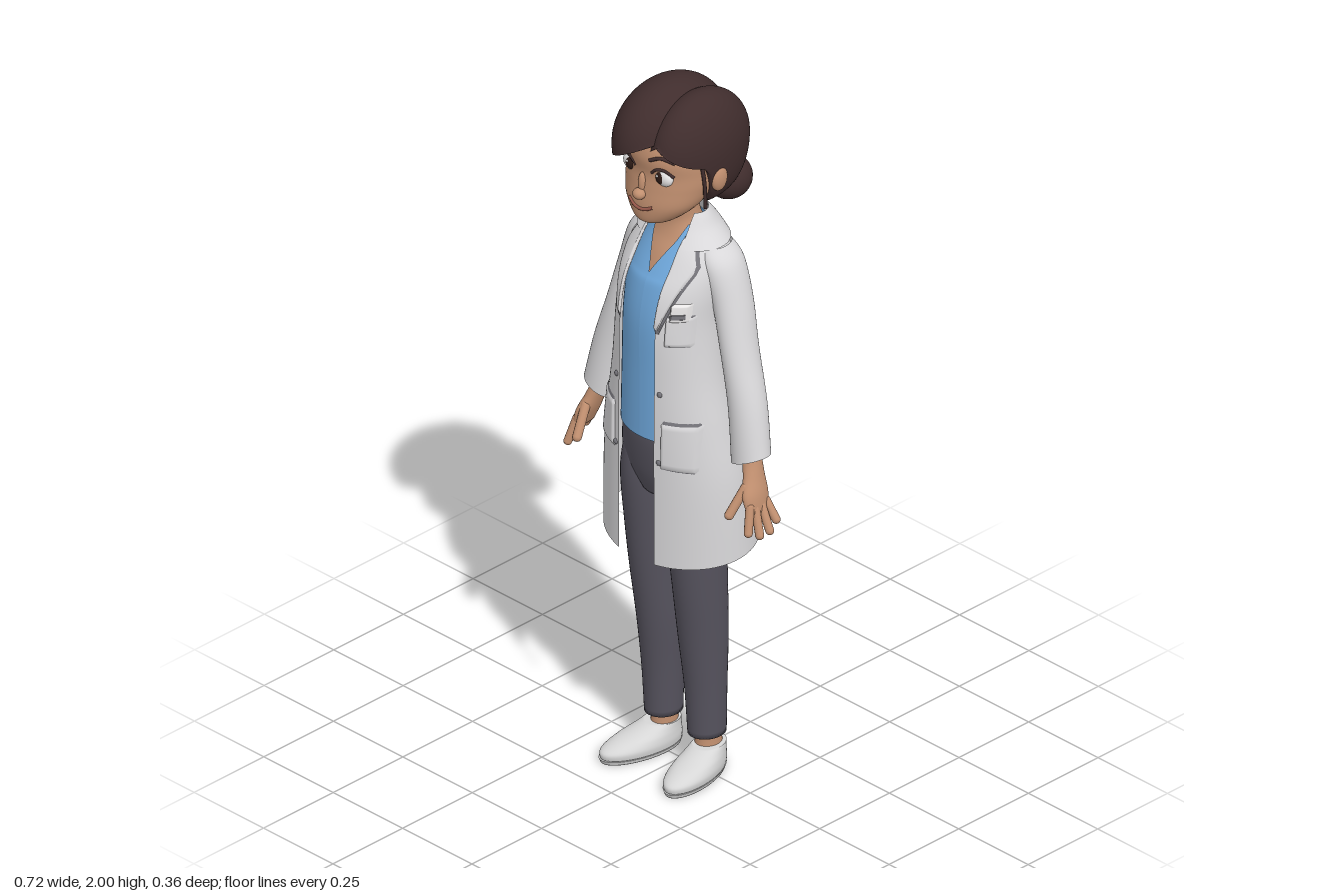
import * as THREE from 'three';

const mat = (name, color, side = THREE.FrontSide) => {
  const m = new THREE.MeshStandardMaterial({ color, side });
  m.name = name;
  return m;
};

// Smooth rows through sections [y, centreX, centreZ, radiusX, radiusZ, frontGapHalfWidth]
function smoothRows(sections, steps = 6) {
  const rows = [], n = sections.length - 1;
  for (let i = 0; i < n; i++) {
    const [a, b, c, d] = [sections[Math.max(i - 1, 0)], sections[i], sections[i + 1], sections[Math.min(i + 2, n)]];
    for (let k = 0; k < steps + (i === n - 1 ? 1 : 0); k++) {
      const t = k / steps;
      rows.push(b.map((p, j) => p + 0.5 * t * (c[j] - a[j] + t * (2 * a[j] - 5 * p + 4 * c[j] - d[j] + t * (3 * (p - c[j]) + d[j] - a[j])))));
    }
  }
  return rows;
}

function gridGeometry(points, cols, rows, wrap) {
  const index = [];
  for (let i = 0; i < rows - 1; i++) for (let j = 0; j < (wrap ? cols : cols - 1); j++) {
    const a = i * cols + j, b = i * cols + (j + 1) % cols;
    index.push(a, b, b + cols, a, b + cols, a + cols);
  }
  const g = new THREE.BufferGeometry();
  g.setAttribute('position', new THREE.Float32BufferAttribute(points, 3));
  g.setIndex(index);
  g.computeVertexNormals();
  return g;
}

// Stack of elliptical rings, optionally capped, open down the front, or bent by a rule
function loft(sections, { cap = false, open = false, bend = null, cols = 40 } = {}) {
  const rows = smoothRows(sections), pts = [];
  if (cap) {
    rows.unshift([...rows[0].slice(0, 3), 0, 0, 0]);
    rows.push([...rows[rows.length - 1].slice(0, 3), 0, 0, 0]);
  }
  rows.forEach(([y, cx, cz, rx, rz, gap = 0], i) => {
    const a = open ? Math.asin(Math.min(0.99, Math.max(0, gap) / rx)) : 0;
    for (let j = 0; j < cols; j++) {
      const t = a + (2 * Math.PI - 2 * a) * j / (open ? cols - 1 : cols);
      const p = new THREE.Vector3(cx + rx * Math.sin(t), y, cz + rz * Math.cos(t));
      if (bend) bend(p, i / (rows.length - 1), cx);
      pts.push(p.x, p.y, p.z);
    }
  });
  return gridGeometry(pts, cols, rows.length, !open);
}

// Sections given by front and back depth: [y, radiusX, front, back, gap]
const body = list => list.map(([y, rx, f, b, gap = 0]) => [y, 0, (f + b) / 2, rx, (f - b) / 2, gap]);

// Front depth of a lofted surface at x, y
function frontOf(sections) {
  const rows = smoothRows(sections);
  return (x, y) => {
    let i = 0;
    while (i < rows.length - 2 && rows[i + 1][0] < y) i++;
    const t = THREE.MathUtils.clamp((y - rows[i][0]) / (rows[i + 1][0] - rows[i][0]), 0, 1);
    const [, , cz, rx, rz] = rows[i].map((v, k) => v + t * (rows[i + 1][k] - v));
    return cz + rz * Math.sqrt(Math.max(0.03, 1 - (x / rx) ** 2));
  };
}

// Thin cloth patch draped on a surface, with its border tucked in
function patch(front, y0, y1, inner, outer, lift) {
  const n = 15, pts = [];
  for (let i = 0; i < n; i++) for (let j = 0; j < n; j++) {
    const edge = i === 0 || j === 0 || i === n - 1 || j === n - 1;
    const y = y0 + (y1 - y0) * i / (n - 1), x = inner(y) + (outer(y) - inner(y)) * j / (n - 1);
    pts.push(x, y, front(x, y) + (edge ? -0.002 : lift));
  }
  return gridGeometry(pts, n, n, false);
}

export function createModel() {
  const M = {
    skin: mat('skin', 0xc29070), hair: mat('dark brown hair', 0x402d2d),
    coat: mat('coat white', 0xd9d8da, THREE.DoubleSide), shirt: mat('shirt blue', 0x6fa8dc, THREE.DoubleSide),
    trousers: mat('trouser grey', 0x56535e), shoe: mat('shoe white', 0xd6d6d6),
    trim: mat('seam grey', 0x77767c, THREE.DoubleSide), eye: mat('eye white', 0xf0eeee),
    iris: mat('iris brown', 0x2e1c17), lip: mat('lip', 0x9a5a4c),
  };
  const model = new THREE.Group();
  model.name = 'woman';
  const add = (name, g, m, parent = model) => {
    const mesh = new THREE.Mesh(g, m);
    mesh.name = name;
    parent.add(mesh);
    return mesh;
  };
  const ball = (name, m, p, s) => {
    const b = add(name, new THREE.SphereGeometry(1, 28, 20), m);
    b.position.set(...p);
    b.scale.set(...s);
    return b;
  };
  const tube = (name, m, pts, r) => add(name, new THREE.TubeGeometry(new THREE.CatmullRomCurve3(pts.map(p => new THREE.Vector3(...p))), 16, r, 8), m);
  const finger = (name, a, b, r) => {
    const p = new THREE.Vector3(...a), d = new THREE.Vector3(...b).sub(p);
    const f = add(name, new THREE.CapsuleGeometry(r, d.length(), 6, 12), M.skin);
    f.position.copy(p).addScaledVector(d, 0.5);
    f.quaternion.setFromUnitVectors(new THREE.Vector3(0, 1, 0), d.normalize());
  };

  // Head and neck
  const headS = body([[1.643, 0.028, 0.13, 0.07], [1.657, 0.062, 0.146, 0.02], [1.7, 0.106, 0.149, -0.03], [1.75, 0.126, 0.142, -0.08],
    [1.79, 0.132, 0.137, -0.1], [1.84, 0.13, 0.141, -0.11], [1.89, 0.11, 0.122, -0.1], [1.935, 0.06, 0.06, -0.05]]);
  const face = frontOf(headS);
  add('head', loft(headS, { cap: true }), M.skin);
  add('neckAndChest', loft(body([[1.44, 0.115, 0.12, -0.08], [1.52, 0.105, 0.084, -0.08], [1.57, 0.08, 0.054, -0.07],
    [1.61, 0.054, 0.04, -0.055], [1.65, 0.048, 0.042, -0.045], [1.72, 0.048, 0.05, -0.04]])), M.skin);
  ball('noseTip', M.skin, [0, 1.733, 0.15], [0.018, 0.015, 0.017]);
  ball('noseBridge', M.skin, [0, 1.76, 0.138], [0.011, 0.032, 0.012]);
  const curveOnFace = (name, m, pts, r) => tube(name, m, pts.map(([x, y]) => [x, y, face(x, y) + 0.001]), r);
  curveOnFace('mouth', M.lip, [[-0.042, 1.705], [-0.02, 1.694], [0, 1.691], [0.02, 1.694], [0.042, 1.705]], 0.0045);
  for (const s of [-1, 1]) {
    ball('eye', M.eye, [s * 0.057, 1.792, 0.117], [0.029, 0.025, 0.017]);
    ball('iris', M.iris, [s * 0.054, 1.792, 0.128], [0.015, 0.017, 0.008]);
    ball('eyeHighlight', M.eye, [s * 0.054 - 0.005, 1.799, 0.135], [0.004, 0.004, 0.002]);
    tube('upperLashes', M.hair, [[s * 0.028, 1.8, 0.133], [s * 0.045, 1.815, 0.133], [s * 0.065, 1.817, 0.126], [s * 0.088, 1.8, 0.112]], 0.004);
    curveOnFace('eyebrow', M.hair, [[s * 0.026, 1.838], [s * 0.055, 1.85], [s * 0.088, 1.84]], 0.005);
    ball('ear', M.skin, [s * 0.137, 1.775, 0], [0.016, 0.037, 0.026]);
    tube('sideLock', M.hair, [[s * 0.125, 1.85, 0.055], [s * 0.135, 1.78, 0.05], [s * 0.131, 1.7, 0.042]], 0.005);
  }

  // Hair: two overlapping lobes meeting at the parting, trimmed along a hairline
  const lobe = (name, c, r, fringe) => {
    const g = new THREE.SphereGeometry(1, 72, 56), p = g.attributes.position;
    for (let i = 0; i < p.count; i++) {
      let [x, y, z] = [p.getX(i), p.getY(i), p.getZ(i)];
      if (y < 0) {
        const h = Math.hypot(x, z), k = h > 1e-5 ? Math.pow(h, -0.4) : 1;
        x *= k; z *= k;
      }
      x = c[0] + x * r[0]; y = c[1] + y * r[1]; z = c[2] + z * r[2];
      const line = THREE.MathUtils.lerp(1.695, fringe(x), THREE.MathUtils.smoothstep(z, 0.005, 0.05));
      p.setXYZ(i, x, Math.max(y, line), z);
    }
    g.computeVertexNormals();
    add(name, g, M.hair);
  };
  lobe('hairSweep', [-0.035, 1.84, 0.002], [0.122, 0.16, 0.174], x => 1.89 + 0.55 * (x - 0.05));
  lobe('hairSide', [0.055, 1.838, -0.012], [0.092, 0.152, 0.156], x => 1.885 - 0.75 * Math.abs(x - 0.055));
  ball('bun', M.hair, [0.055, 1.697, -0.117], [0.06, 0.06, 0.063]);
  ball('bun', M.hair, [-0.035, 1.695, -0.117], [0.055, 0.056, 0.061]);

  // Shirt with a V neck
  add('shirt', loft(body([[1.015, 0.142, 0.149, -0.08], [1.2, 0.135, 0.149, -0.075], [1.35, 0.13, 0.149, -0.08], [1.45, 0.13, 0.132, -0.09],
    [1.485, 0.126, 0.115, -0.09, 0], [1.53, 0.112, 0.088, -0.088, 0.02], [1.57, 0.092, 0.064, -0.078, 0.04], [1.61, 0.066, 0.044, -0.062, 0.052]]),
    { open: true, cols: 60 }), M.shirt);

  // Coat shell with a sloping hem
  const gap = 0.063;
  const coatS = body([[0.69, 0.225, 0.167, -0.172, gap], [0.9, 0.215, 0.167, -0.142, gap], [1.05, 0.19, 0.168, -0.11, gap], [1.2, 0.162, 0.168, -0.09, gap],
    [1.35, 0.148, 0.168, -0.096, gap], [1.45, 0.151, 0.148, -0.11, gap], [1.52, 0.147, 0.108, -0.112, gap], [1.57, 0.12, 0.078, -0.102, gap],
    [1.6, 0.09, 0.056, -0.085, gap], [1.635, 0.07, 0.035, -0.064, 0.06]]);
  const coatZ = frontOf(coatS);
  add('coat', loft(coatS, { open: true, cols: 72, bend: (p, f) => { p.y -= 0.16 * p.z * Math.max(0, 1 - f * 4); } }), M.coat);
  add('collar', loft(body([[1.565, 0.136, 0.09, -0.112, 0.075], [1.6, 0.1, 0.066, -0.096, 0.067], [1.63, 0.079, 0.045, -0.074, 0.062],
    [1.642, 0.07, 0.036, -0.063, 0.06]]), { open: true, cols: 60 }), M.coat);

  for (const s of [-1, 1]) {
    // Lapel with a dark seam line beneath it
    const reach = y => 0.068 + (y < 1.52 ? 0.056 * (y - 1.35) / 0.17 : 0.056 - 0.04 * (y - 1.52) / 0.08);
    add('lapelSeam', patch(coatZ, 1.34, 1.6, () => s * gap, y => s * (Math.max(reach(y), 0.066) + 0.005), 0.004), M.trim);
    add('lapel', patch(coatZ, 1.35, 1.6, () => s * gap, y => s * reach(y), 0.009), M.coat);
    // Lower pocket
    add('pocketSeam', patch(coatZ, 0.95, 1.1, () => s * 0.083, () => s * 0.168, 0.003), M.trim);
    add('pocket', patch(coatZ, 0.953, 1.093, () => s * 0.081, () => s * 0.17, 0.007), M.coat);
    for (const y of [1.17, 0.97]) ball('button', M.trim, [s * 0.077, y, coatZ(s * 0.077, y)], [0.008, 0.008, 0.005]);

    // Sleeve with a slanted cuff
    add('sleeve', loft([[1.005, s * 0.265, 0.012, 0.054, 0.048], [1.15, s * 0.24, 0, 0.05, 0.051], [1.3, s * 0.2, -0.01, 0.046, 0.054],
      [1.42, s * 0.166, -0.02, 0.048, 0.058], [1.52, s * 0.13, -0.02, 0.049, 0.062], [1.565, s * 0.105, -0.02, 0.035, 0.048]],
    { bend: (p, f, cx) => { p.y += 0.4 * s * (p.x - cx) * Math.max(0, 1 - f * 3); } }), M.coat);

    // Hand
    add('hand', loft([[0.88, s * 0.314, 0.036, 0.014, 0.037], [0.925, s * 0.3, 0.033, 0.021, 0.042], [0.97, s * 0.284, 0.022, 0.022, 0.032],
      [1.02, s * 0.266, 0.012, 0.026, 0.027], [1.09, s * 0.25, 0.006, 0.03, 0.03]], { cap: true, cols: 24 }), M.skin);
    [[0.063, 0.325, 0.835, 0.082], [0.045, 0.342, 0.826, 0.058], [0.025, 0.35, 0.832, 0.03], [0.007, 0.343, 0.85, 0]].forEach(
      ([z, x, y, tipZ]) => finger('finger', [s * 0.312, 0.9, z], [s * x, y, tipZ], 0.0115));
    finger('thumb', [s * 0.288, 0.945, 0.055], [s * 0.274, 0.875, 0.1], 0.0125);

    // Trouser leg, ankle and shoe
    add('trouserLeg', loft([[0.108, s * 0.078, -0.016, 0.047, 0.053], [0.25, s * 0.077, -0.012, 0.053, 0.058], [0.4, s * 0.075, -0.005, 0.061, 0.069],
      [0.55, s * 0.077, 0.008, 0.065, 0.077], [0.68, s * 0.077, 0.018, 0.069, 0.083], [0.85, s * 0.075, 0.025, 0.072, 0.095],
      [0.96, s * 0.07, 0.025, 0.06, 0.09]], { cap: true }), M.trousers);
    add('ankle', loft([[0.04, s * 0.08, -0.02, 0.034, 0.042], [0.09, s * 0.079, -0.02, 0.032, 0.037], [0.13, s * 0.078, -0.018, 0.032, 0.036]]), M.skin);
    const foot = new THREE.Group();
    foot.name = 'foot';
    foot.position.set(s * 0.085, 0, -0.015);
    foot.rotation.y = s * 0.2;
    add('sole', loft([[0, 0, 0.064, 0.05, 0.118], [0.012, 0, 0.064, 0.054, 0.123]], { cap: true }), M.shoe, foot);
    add('shoe', loft([[0.012, 0, 0.063, 0.053, 0.12], [0.03, 0, 0.061, 0.055, 0.12], [0.048, 0, 0.043, 0.051, 0.1],
      [0.063, 0, 0.018, 0.045, 0.073], [0.078, 0, -0.004, 0.04, 0.05]], { cap: true }), M.shoe, foot);
    model.add(foot);
  }

  // Hips of the trousers
  add('trouserHips', loft([[0.83, 0, 0.025, 0.08, 0.085], [0.9, 0, 0.025, 0.145, 0.105], [1, 0, 0.03, 0.14, 0.113], [1.06, 0, 0.03, 0.13, 0.108]], { cap: true }), M.trousers);

  // Chest pocket and badge
  add('chestPocketSeam', patch(coatZ, 1.31, 1.405, () => 0.088, () => 0.137, 0.003), M.trim);
  add('chestPocket', patch(coatZ, 1.312, 1.4, () => 0.086, () => 0.139, 0.007), M.coat);
  add('badge', patch(coatZ, 1.385, 1.435, () => 0.096, () => 0.132, 0.011), M.eye);
  add('badgeStripe', patch(coatZ, 1.395, 1.41, () => 0.1, () => 0.128, 0.014), M.trim);
  return model;
}
